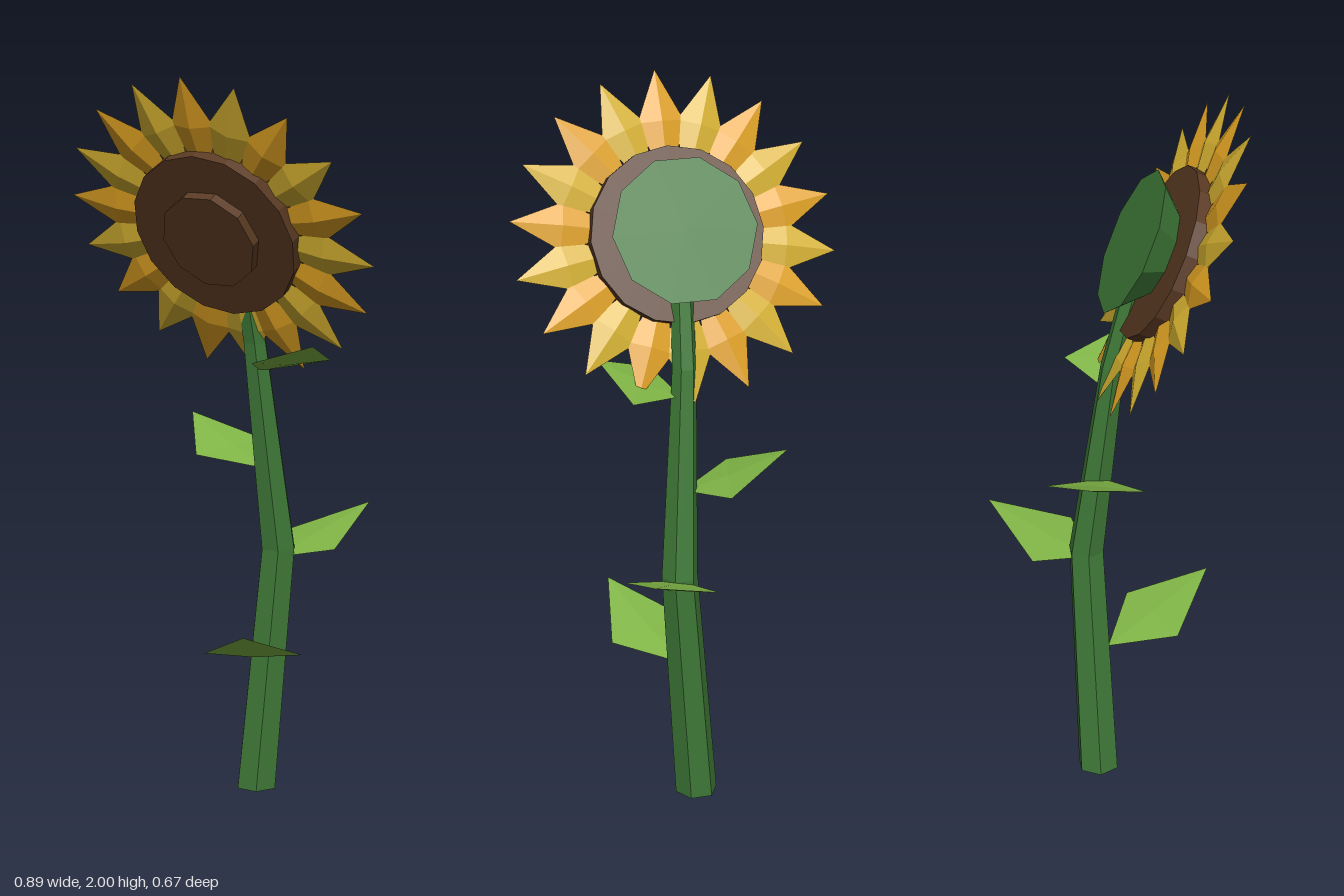
import * as THREE from 'three';

const mat = (name, color) => {
  const m = new THREE.MeshStandardMaterial({ color, flatShading: true });
  m.name = name;
  return m;
};

function fromTriangles(pos) {
  const g = new THREE.BufferGeometry();
  g.setAttribute('position', new THREE.Float32BufferAttribute(pos, 3));
  g.computeVertexNormals();
  return g;
}

// Flattened kite-shaped bipyramid: used for both petals and leaves
function kite(base, sideA, tip, sideB, halfThick) {
  const ring = [base, sideA, tip, sideB].map(p => new THREE.Vector3(...p));
  const n = ring[2].clone().sub(ring[0]).cross(ring[3].clone().sub(ring[1])).setLength(halfThick);
  const mid = ring[1].clone().add(ring[3]).multiplyScalar(0.5);
  const top = mid.clone().add(n), bottom = mid.clone().sub(n);
  const pos = [];
  ring.forEach((p, i) => {
    const q = ring[(i + 1) % 4];
    for (const v of [p, q, top, q, p, bottom]) pos.push(v.x, v.y, v.z);
  });
  return fromTriangles(pos);
}

// Six-sided tube through horizontal rings [x, y, z, radius]
function hexTube(path) {
  const pt = (i, k) => {
    const [x, y, z, r] = path[i], a = k * Math.PI / 3;
    return [x + r * Math.cos(a), y, z + r * Math.sin(a)];
  };
  const last = path.length - 1, pos = [];
  for (let k = 0; k < 6; k++) {
    for (let i = 0; i < last; i++) {
      pos.push(...pt(i, k), ...pt(i + 1, k), ...pt(i, k + 1));
      pos.push(...pt(i, k + 1), ...pt(i + 1, k), ...pt(i + 1, k + 1));
    }
    pos.push(...path[0].slice(0, 3), ...pt(0, k), ...pt(0, k + 1));
    pos.push(...path[last].slice(0, 3), ...pt(last, k + 1), ...pt(last, k));
  }
  return fromTriangles(pos);
}

export function createModel() {
  const green = mat('stem green', 0x3f7a38);
  const leafGreen = mat('leaf green', 0x80b546);
  const brown = mat('seed brown', 0x5a3a23);
  const orange = mat('petal orange', 0xdc9f22);
  const yellow = mat('petal yellow', 0xd3af30);

  const model = new THREE.Group();
  model.name = 'sunflower';
  const add = (parent, name, geometry, material) => {
    const m = new THREE.Mesh(geometry, material);
    m.name = name;
    parent.add(m);
    return m;
  };

  // Bent stem
  add(model, 'stem', hexTube([
    [-0.003, 0, -0.053, 0.06],
    [0.052, 0.69, -0.077, 0.051],
    [0.018, 1.27, -0.008, 0.034],
    [0.01, 1.5, 0.045, 0.03],
  ]), green);

  // Leaves: base, side, tip, side
  const leaves = [
    [[0.02, 0.385, -0.02], [-0.035, 0.435, 0.17], [0.16, 0.535, 0.285], [0.21, 0.44, 0.06]],
    [[0.05, 0.665, -0.06], [-0.015, 0.7, -0.235], [0.197, 0.787, -0.335], [0.217, 0.7, -0.1]],
    [[0.03, 0.92, -0.03], [-0.055, 0.957, -0.203], [-0.245, 1.038, -0.105], [-0.125, 0.957, 0.065]],
    [[0.03, 1.19, -0.02], [0.19, 1.22, -0.118], [0.24, 1.287, 0.065], [0.08, 1.235, 0.112]],
  ];
  leaves.forEach((p, i) => add(model, 'leaf' + (i + 1), kite(...p, 0.008), leafGreen));

  // Flower head, nodding forward; its local +z is the face
  const head = new THREE.Group();
  head.name = 'flowerHead';
  head.position.set(0, 1.588, 0.14);
  head.rotation.x = THREE.MathUtils.degToRad(25);
  model.add(head);

  const disc = (name, rFront, rBack, zBack, zFront, sides, material) => {
    const g = new THREE.CylinderGeometry(rFront, rBack, zFront - zBack, sides, 1, false, Math.PI / 2);
    g.rotateX(Math.PI / 2);
    g.translate(0, 0, (zFront + zBack) / 2);
    add(head, name, g, material);
  };
  disc('seedDisc', 0.24, 0.24, -0.035, 0.035, 16, brown);
  disc('seedCentre', 0.138, 0.138, 0.03, 0.065, 10, brown);
  disc('calyx', 0.125, 0.2, -0.112, -0.03, 10, green);

  // Ring of petals in alternating colours
  const petal = kite([0, 0.12, 0], [0.065, 0.31, 0], [0, 0.452, 0], [-0.065, 0.31, 0], 0.017);
  for (let i = 0; i < 18; i++) {
    const m = add(head, 'petal' + (i + 1), petal, i % 2 ? yellow : orange);
    m.rotation.z = i * Math.PI / 9;
  }
  return model;
}
